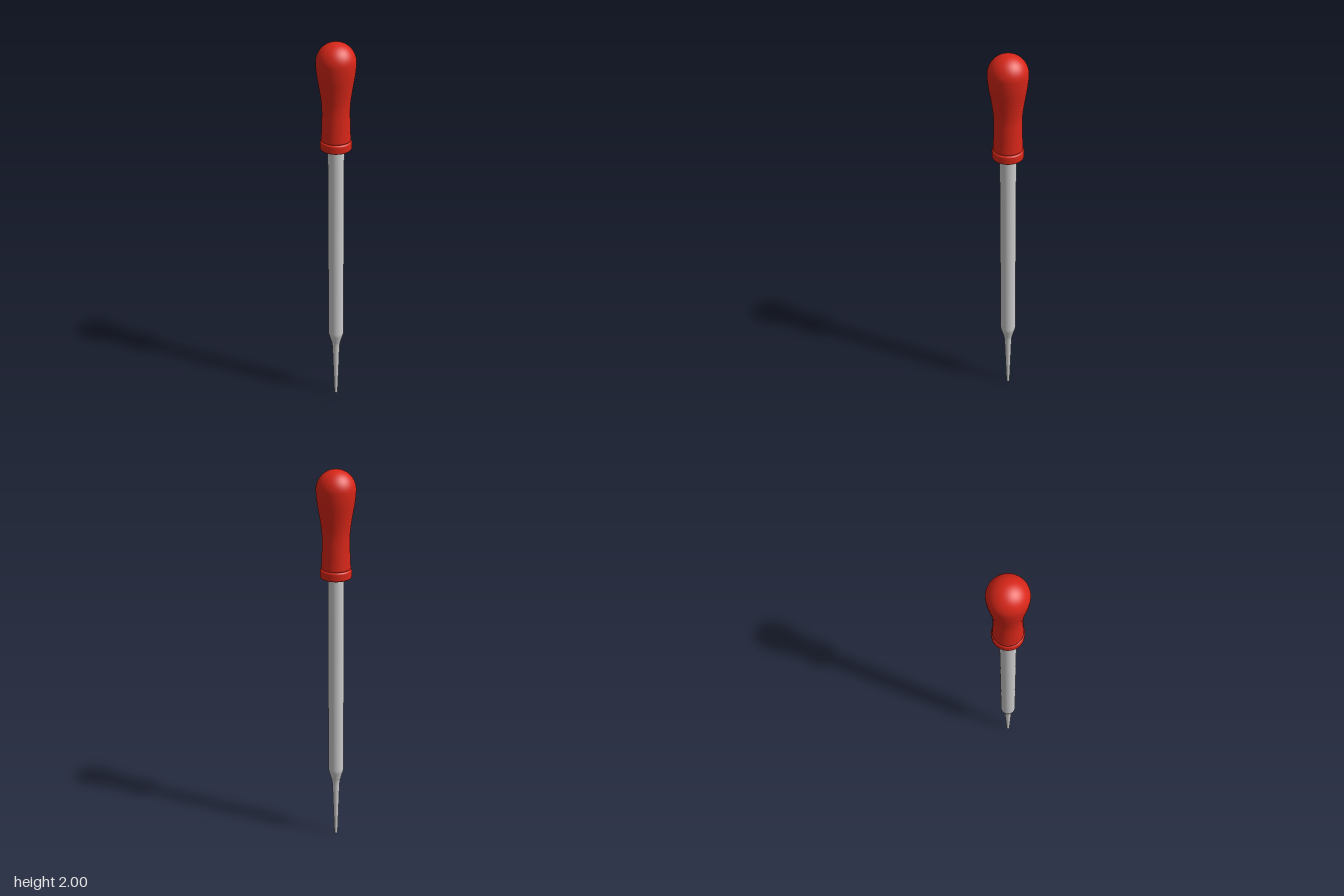
import * as THREE from 'three';

const SEGMENTS = 48;
const v = ([r, y]) => new THREE.Vector2(r, y);

// Smooth curve through a few [radius, height] points
const smooth = (pts, n) => new THREE.SplineCurve(pts.map(v)).getPoints(n);

// Quarter-style arc of a profile, angles in radians
function arc(cx, cy, r, from, to, n) {
  return Array.from({ length: n + 1 }, (_, i) => {
    const a = from + ((to - from) * i) / n;
    return new THREE.Vector2(Math.max(0, cx + r * Math.cos(a)), cy + r * Math.sin(a));
  });
}

function turned(name, profile, color) {
  const material = new THREE.MeshStandardMaterial({ color, side: THREE.DoubleSide });
  const mesh = new THREE.Mesh(new THREE.LatheGeometry(profile, SEGMENTS), material);
  mesh.name = name;
  return mesh;
}

export function createModel() {
  const group = new THREE.Group();
  group.name = 'dropper';
  const H = Math.PI / 2;

  // Glass tube: narrow open tip, shoulder, straight barrel running into the bulb
  group.add(turned('glassTube', [
    v([0.005, 0.12]), v([0.005, 0.002]), v([0.006, 0]), v([0.008, 0]), v([0.009, 0.003]),
    ...smooth([[0.01, 0.04], [0.0155, 0.2], [0.02, 0.32], [0.028, 0.36], [0.038, 0.395]], 28),
    v([0.04, 0.405]), v([0.04, 0.415]), v([0.04, 1.55]),
  ], 0xcccccc));

  // Plug closing the bore above the tip
  const bore = new THREE.Mesh(new THREE.CircleGeometry(0.005, 16),
    new THREE.MeshStandardMaterial({ color: 0xcccccc, side: THREE.DoubleSide }));
  bore.name = 'boreEnd';
  bore.rotation.x = H;
  bore.position.y = 0.12;
  group.add(bore);

  // Rubber bulb: rolled collar, slim neck, swelling to a round dome
  group.add(turned('rubberBulb', [
    v([0.039, 1.5]), v([0.039, 1.478]), v([0.042, 1.475]),
    ...arc(0.067, 1.485, 0.01, -H, 0, 6),
    ...arc(0.067, 1.512, 0.01, 0, H, 6),
    ...smooth([[0.072, 1.524], [0.069, 1.58], [0.067, 1.66], [0.069, 1.71], [0.078, 1.775], [0.089, 1.84], [0.094, 1.885]], 32),
    ...arc(0, 1.905, 0.095, 0, H, 20),
  ], 0xd82618));

  return group;
}
